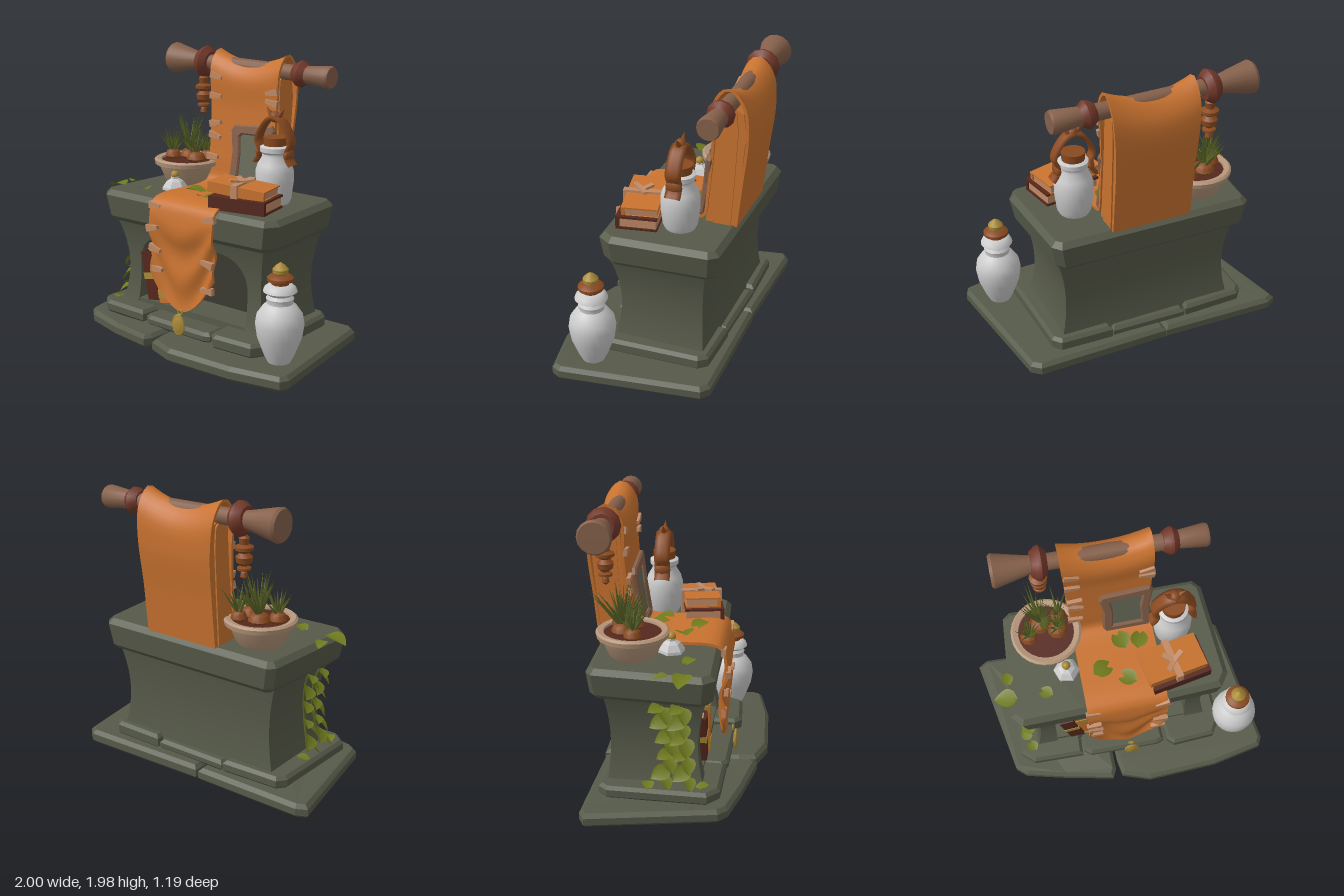
import * as THREE from 'three';
import { toCreasedNormals } from 'three/addons/utils/BufferGeometryUtils.js';

const STONE = 0x565a49, DARK = 0x3b3a31, ORANGE = 0xc8722f, WOOD = 0x85604a, RUST = 0x73382a, BROWN = 0x8a4a20,
  GREEN = 0x6f7a1e, BLADE = 0x5a6426, CLAY = 0xb5957a, GOLD = 0xa98a36, MAROON = 0x55281e, TAN = 0xc08a66, GREY = 0xcccccc;
const V = (x, y, z) => new THREE.Vector3(x, y, z);

function add(parent, name, geo, color, pos = [0, 0, 0], rot = [0, 0, 0], flat = false) {
  const m = new THREE.Mesh(geo, new THREE.MeshStandardMaterial({ color, flatShading: flat }));
  m.name = name;
  m.position.set(...pos);
  m.rotation.set(...rot);
  parent.add(m);
  return m;
}
function group(parent, name, pos = [0, 0, 0], rot = [0, 0, 0]) {
  const g = new THREE.Group();
  g.name = name;
  g.position.set(...pos);
  g.rotation.set(...rot);
  parent.add(g);
  return g;
}
// Moves every vertex by a rule
function warp(geo, rule) {
  const p = geo.attributes.position, v = V(0, 0, 0);
  for (let i = 0; i < p.count; i++) {
    v.fromBufferAttribute(p, i);
    rule(v);
    p.setXYZ(i, v.x, v.y, v.z);
  }
  geo.computeVertexNormals();
  return geo;
}
const box = (w, h, d) => new THREE.BoxGeometry(w, h, d);
const lathe = (pts, n = 24) => toCreasedNormals(new THREE.LatheGeometry(pts.map(p => new THREE.Vector2(...p)), n), 0.7);
const tube = (pts, r, n = 20) => new THREE.TubeGeometry(new THREE.CatmullRomCurve3(pts.map(p => V(...p))), n, r, 6);
// Bevelled stone slab from an (x, z) outline
function slab(outline, y0, y1, b = 0.02) {
  const s = new THREE.Shape(outline.map(([x, z]) => new THREE.Vector2(x, -z)));
  const g = new THREE.ExtrudeGeometry(s, { depth: y1 - y0 - 2 * b, bevelSize: b, bevelThickness: b, bevelOffset: -b, bevelSegments: 1 });
  return g.rotateX(-Math.PI / 2).translate(0, y0 + b, 0);
}
const stone = (parent, name, geo) => add(parent, name, geo, STONE, [0, 0, 0], [0, 0, 0], true);
// Book lying flat, spine facing +z
function book(parent, name, w, t, d, color, pos, rot, bands = []) {
  const g = group(parent, name, pos, rot);
  for (const s of [-1, 1]) add(g, 'cover', box(w, t * 0.16, d), color, [0, s * t * 0.42, 0]);
  add(g, 'pages', box(w * 0.95, t * 0.7, d * 0.92), TAN, [0, 0, -d * 0.01]);
  add(g, 'spine', box(w, t, d * 0.1), color, [0, 0, d * 0.46]);
  for (const x of bands) add(g, 'band', box(w * 0.13, t * 1.06, d * 1.02), GOLD, [x, 0, 0.004]);
}
function leaf(parent, pos, rot, s) {
  const g = warp(new THREE.PlaneGeometry(1, 1, 2, 6), v => {
    const t = v.y + 0.5;
    v.x *= 0.78 * Math.pow(Math.sin(Math.PI * Math.pow(t, 0.8)), 0.8) + 0.03;
    v.z = Math.abs(v.x) * 0.35 - t * t * 0.2;
  }).scale(s, s, s);
  add(parent, 'leaf', g, GREEN, pos, rot).material.side = THREE.DoubleSide;
}

function stonework(root) {
  const floor = group(root, 'floorSlabs');
  const tilt = v => { v.y += .012 * Math.sin(v.x * 5 + v.z * 3); };
  stone(floor, 'leftSlab', warp(slab([[-1, -.53], [-.93, -.57], [-.13, -.54], [-.12, .47], [-.15, .53], [-.5, .45], [-.78, .38], [-.85, .32]], .012, .108, .025), tilt));
  stone(floor, 'rightSlab', slab([[-.12, -.55], [.81, -.56], [.87, -.51], [1, .44], [.97, .5], [.62, .57], [.12, .59], [-.08, .52], [-.1, .4]], .01, .11, .025));
  const plinth = group(root, 'plinth');
  [[[[-.77, -.42], [-.72, -.48], [-.3, -.49], [-.34, .33], [-.7, .32], [-.79, .24]], .19],
    [[[-.29, -.49], [.25, -.48], [.27, .33], [.22, .35], [-.28, .34], [-.33, .3]], .175],
    [[[.26, -.49], [.63, -.48], [.68, -.42], [.7, .27], [.64, .37], [.34, .385], [.29, .34]], .2]]
    .forEach(([o, y]) => stone(plinth, 'plinthStone', slab(o, .1, y, .022)));

  // Hearth: recess, arched face and pinched sides in one loft around the arch
  const bow = y => ((y - .45) / .33) ** 2;
  const arch = new THREE.Path();
  arch.moveTo(.48, .2).lineTo(.48, .48).bezierCurveTo(.47, .64, .36, .7, .24, .7);
  arch.lineTo(-.24, .7).bezierCurveTo(-.36, .7, -.47, .64, -.48, .48).lineTo(-.48, .2);
  const hearth = warp(new THREE.PlaneGeometry(1, 6, 64, 6), v => {
    const u = .5 - v.x, row = Math.round(v.y + 3), p = arch.getPointAt(u);
    const y = .12 + .68 * Math.min(1, u / .25, (1 - u) / .25);
    const side = .59 + .055 * bow(y), x = side * THREE.MathUtils.clamp((.5 - u) / .25, -1, 1);
    const f = THREE.MathUtils.clamp((row - 1) / 4, 0, 1);
    v.set(p.x + (x - p.x) * f, p.y + (y - p.y) * f, 0);
    v.z = row === 0 ? -.065 : row === 6 ? -.41 - .03 * bow(y) : .165 + .055 * bow(v.y);
  });
  add(root, 'hearth', toCreasedNormals(hearth, .6), STONE, [-.025, 0, 0]);
  const back = warp(new THREE.PlaneGeometry(2, .68, 1, 10), v => {
    v.y += .46;
    v.x *= -(.59 + .055 * bow(v.y));
    v.z = -.41 - .03 * bow(v.y);
  });
  add(root, 'hearthBack', back, STONE, [-.025, 0, 0]);
  add(root, 'recessPanel', box(1.0, .54, .01), DARK, [-.025, .46, -.063]);
  add(root, 'recessFloor', box(1.1, .11, .25), STONE, [-.025, .165, .06]);

  // Mantel tapers towards its underside
  stone(root, 'mantel', warp(slab([[-.73, -.51], [-.68, -.55], [.63, -.54], [.68, -.48], [.72, .18], [.66, .27], [.3, .285], [-.3, .28], [-.72, .285], [-.79, .21]], .78, 1, .035),
    v => { const k = v.y < .9 ? .96 : 1; v.x *= k; v.z = -.13 + (v.z + .13) * k; }));
}

function drapery(root) {
  const g = group(root, 'drapery');
  const path = new THREE.CatmullRomCurve3([[1.0, -.515], [1.3, -.545], [1.66, -.58], [1.85, -.555], [1.945, -.465], [1.86, -.385], [1.6, -.375], [1.2, -.34],
    [1.04, -.315], [1.012, -.25], [1.012, .2], [.99, .27], [.93, .295], [.8, .305], [.6, .28], [.26, .285]].map(([y, z]) => V(0, y, z)), false, 'centripetal');
  // Cloth strip swept along the path, with a sagging top and a rounded tip
  const cloth = warp(new THREE.BoxGeometry(2, 1, 1, 14, 90, 1), v => {
    const t = v.y + .5, u = -v.x, p = path.getPointAt(t), d = path.getTangentAt(t);
    const top = THREE.MathUtils.smoothstep(p.y, 1.3, 1.95), o = .02 * (v.z + .5);
    v.set(u * (.277 + .023 * top), p.y + d.z * o - .075 * top * (1 - u * u), p.z - d.y * o);
    if (p.z > .2 && p.y < .93) {
      const tip = .26 + .24 * Math.pow(Math.abs(u), 1.8) + .03 * u, f = (.93 - p.y) / .67;
      v.y = .93 - f * (.93 - tip);
      v.z += .014 * Math.sin(f * 12 + u * u * 4) * Math.min(1, f * 3) + .012 * Math.cos(u * 5) * f;
    }
  });
  add(g, 'cloth', toCreasedNormals(cloth, .8), ORANGE);
  // Folded layers filling the sides, stepping inwards
  for (const [w, k] of [[.53, 1], [.55, .6]]) {
    const outline = [[-.515, 1], [-.545, 1.3], [-.575, 1.66], [-.555, 1.79], [-.465, 1.83], [-.385, 1.79], [-.375, 1.6], [-.34, 1.2], [-.315, 1]];
    const s = new THREE.Shape(outline.map(([z, y]) => new THREE.Vector2(.45 - (z + .45) * k, y)).reverse());
    add(g, 'innerFold', new THREE.ExtrudeGeometry(s, { depth: w, bevelEnabled: false }).rotateY(Math.PI / 2).translate(-w / 2, 0, 0), ORANGE);
  }
  // Lacing along the hems
  [[-.24, 1.78, -.355], [-.24, 1.64, -.35], [-.23, 1.45, -.335], [-.23, 1.36, -.33], [-.24, 1.21, -.315], [.25, 1.71, -.35], [.25, 1.64, -.35],
    [-.24, .97, .295], [-.24, .82, .33], [-.23, .67, .315], [-.23, .52, .3], [.24, .95, .305], [.23, .65, .315], [.22, .46, .3]]
    .forEach(([x, y, z], i) => {
      const wedge = warp(box(.1, .05, .03), v => { if (v.x * x < 0) v.y *= .5; });
      add(g, 'lace', wedge, TAN, [x, y, z], [0, 0, (i % 3 - 1) * .2]);
    });

  const rod = group(root, 'rod', [0, 1.85, -.46], [0, 0, -.02]);
  add(rod, 'pole', lathe([[0, -.73], [.1, -.73], [.112, -.71], [.062, -.49], [.055, -.4], [.055, .4], [.06, .47], [.078, .64], [.07, .66], [0, .66]], 16).rotateZ(-Math.PI / 2), WOOD);
  for (const [x, r] of [[-.425, .115], [.415, .092]])
    add(rod, 'collar', lathe([[.05, -.05], [r * .7, -.05], [r * .95, -.014], [r, .01], [r * .7, .05], [.05, .05]], 12).rotateZ(-Math.PI / 2), RUST, [x, 0, 0], [0, 0, -.08]);
  add(root, 'hangingBeads', lathe([[0, -.39], [.025, -.37], [.02, -.34], [.015, -.335], [.045, -.325], [.045, -.31], [.02, -.3], [.05, -.275], [.055, -.24], [.03, -.215],
    [.06, -.195], [.06, -.175], [.03, -.16], [.035, -.12], [.015, -.1], [.015, 0]], 12), BROWN, [-.44, 1.86, -.45]);
  const medal = group(root, 'medallion', [.02, .19, .365]);
  add(medal, 'disc', new THREE.SphereGeometry(1, 16, 10).scale(.048, .068, .018), GOLD);
  add(medal, 'rim', new THREE.TorusGeometry(.045, .01, 6, 20).scale(1, 1.4, 1), GOLD);
  add(medal, 'loop', new THREE.TorusGeometry(.018, .007, 6, 12), GOLD, [0, .085, -.02]);
}

function vessels(root) {
  const vase = group(root, 'floorVase', [.8, .11, .275]);
  add(vase, 'body', lathe([[0, 0], [.075, 0], [.1, .05], [.145, .17], [.158, .26], [.148, .32], [.11, .375], [.085, .395], [.085, .41], [.09, .43], [.075, .45], [.11, .475], [.1, .5], [.075, .52], [0, .52]]), GREY);
  add(vase, 'stopper', lathe([[0, .5], [.055, .5], [.055, .53], [.085, .545], [.085, .565], [.06, .585], [0, .585]]), BROWN);
  add(vase, 'knob', lathe([[.025, .575], [.05, .595], [.052, .62], [.03, .645], [0, .665]], 12), GOLD);

  const jar = group(root, 'handledJar', [.4, 1, -.19]);
  add(jar, 'body', lathe([[0, 0], [.1, 0], [.115, .03], [.13, .15], [.13, .22], [.115, .27], [.085, .32], [.085, .34], [.1, .355], [.1, .385], [.08, .395], [0, .395]]), GREY);
  add(jar, 'cork', new THREE.CylinderGeometry(.08, .075, .07, 18), BROWN, [0, .415, 0]);
  for (const s of [-1, 1]) {
    const strap = tube([[0, .585], [s * .05, .565], [s * .11, .49], [s * .135, .42], [s * .11, .36], [s * .12, .31], [s * .15, .27]], .016).scale(1, 1, 3.4);
    add(jar, 'strap', strap, BROWN);
    add(jar, 'strapKnot', new THREE.SphereGeometry(1, 8, 6).scale(.024, .045, .058), BROWN, [s * .115, .34, 0]);
    add(jar, 'bowTip', new THREE.ConeGeometry(.028, .09, 6), BROWN, [s * .045, .61, 0], [0, 0, -s * .7]);
  }
  add(jar, 'bowKnot', new THREE.SphereGeometry(.04, 8, 6), BROWN, [0, .585, 0]);

  const flask = group(root, 'smallFlask', [-.36, 1, -.04], [0, .35, 0]);
  add(flask, 'body', lathe([[0, 0], [.09, 0], [.088, .02], [.06, .06], [.03, .08], [.03, .095], [0, .095]], 6), GREY, [0, 0, 0], [0, 0, 0], true);
  add(flask, 'stopper', new THREE.SphereGeometry(.03, 10, 8), GOLD, [0, .105, 0]);

  // Planter with root bulbs and spiky tufts
  const pot = group(root, 'planter', [-.45, 1, -.28]);
  add(pot, 'bowl', lathe([[0, 0], [.14, 0], [.16, .02], [.205, .13], [.235, .14], [.24, .17], [.225, .182], [.19, .175], [.185, .13]], 28), CLAY);
  add(pot, 'soil', new THREE.CylinderGeometry(.19, .18, .03, 24), MAROON, [0, .145, 0]);
  for (const [x, z, h, n, r] of [[-.03, -.06, .33, 30, .075], [.08, 0, .22, 12, .07], [-.12, .02, .2, 20, .06], [.1, -.1, .24, 10, .055]]) {
    add(pot, 'bulb', lathe([[.03, 0], [r, .04], [r * .8, .075], [r * .3, .095], [0, .1]], 10), BROWN, [x, .14, z]);
    for (let i = 0; i < n; i++) {
      const len = h * (.65 + .35 * ((i * 5) % 7) / 6), tilt = .1 + .65 * ((i * 7) % n) / n;
      const blade = new THREE.ConeGeometry(.013, len, 4).translate(0, len / 2, 0).rotateX(tilt).rotateY(i * 2.4);
      add(pot, 'blade', blade, BLADE, [x, .2, z]);
    }
  }
}

function keepsakes(root) {
  // Leaning picture frame
  const frame = group(root, 'pictureFrame', [.1, 1.02, -.29], [-.14, 0, 0]);
  const pts = a => a.map(p => new THREE.Vector2(...p));
  const s = new THREE.Shape(pts([[-.14, 0], [.16, 0], [.18, .04], [.165, .25], [.19, .43], [.17, .465], [0, .45], [-.15, .44], [-.175, .4], [-.15, .25], [-.16, .04]]));
  s.holes.push(new THREE.Path(pts([[-.09, .06], [-.085, .25], [-.1, .36], [-.08, .38], [.12, .385], [.1, .25], [.11, .06]])));
  add(frame, 'border', new THREE.ExtrudeGeometry(s, { depth: .025, bevelSize: .01, bevelThickness: .01, bevelOffset: -.01, bevelSegments: 1 }), WOOD, [0, 0, 0], [0, 0, 0], true);
  add(frame, 'panel', box(.25, .38, .02), 0x666a58, [.01, .22, .005]);

  book(root, 'lowerBook', .41, .09, .27, MAROON, [.37, 1.055, .085], [0, .18, 0]);
  book(root, 'upperBook', .41, .07, .24, ORANGE, [.345, 1.14, .075], [0, .2, -.08]);
  const tie = group(root, 'bookTie', [.345, 1.1, .08], [0, .2, 0]);
  add(tie, 'strap', box(.045, .175, .285), TAN);
  for (const a of [.5, 2.3, 3.9]) add(tie, 'ribbon', box(.09, .015, .035).translate(.04, 0, 0), TAN, [0, .09, .02], [0, a, .15]);

  book(root, 'leaningDarkBook', .35, .1, .2, MAROON, [-.39, .41, .1], [0, 0, Math.PI / 2 + .2], [0]);
  book(root, 'leaningOrangeBook', .42, .085, .2, ORANGE, [-.285, .45, .11], [0, 0, Math.PI / 2 + .2], [-.15, .15]);
}

function ivy(root) {
  const g = group(root, 'ivy');
  // Vines climbing the left wall, leaves pointing outwards and drooping
  const vines = [[[-.72, .82, .06], [-.665, .7, .06], [-.64, .55, .06], [-.645, .4, .08], [-.69, .2, .1]],
    [[-.71, .82, -.08], [-.65, .65, -.05], [-.63, .45, -.02], [-.69, .2, -.06]]];
  vines.forEach((pts, k) => {
    add(g, 'vine', tube(pts, .008, 30), BLADE);
    const c = new THREE.CatmullRomCurve3(pts.map(p => V(...p)));
    for (let i = 0; i < 10; i++) {
      const p = c.getPointAt(.1 + i * .095), side = i % 2 ? 1 : -1;
      leaf(g, [p.x - .045, p.y, p.z + side * .025], [-1.15, -.35 - (i % 3) * .15, Math.PI / 2 + side * (.5 + k * .2)], .11 + (i % 3) * .015);
    }
  });
  // Fallen leaves
  [[-.8, 1.0, .08, 1.4, .16], [-.77, 1.0, -.06, .2, .1], [-.53, 1.01, .09, 1, .11], [.04, 1.045, -.18, .4, .16], [.17, 1.045, -.16, -.3, .15],
    [-.11, 1.045, .01, -1.2, .16], [.03, 1.045, .1, 1, .15], [-.7, .2, .2, .5, .1], [-.72, .2, -.15, 1.8, .1]]
    .forEach(([x, y, z, a, s]) => leaf(g, [x, y, z], [-Math.PI / 2, 0, a], s));
}

export function createModel() {
  const root = new THREE.Group();
  root.name = 'hearthShrine';
  [stonework, drapery, vessels, keepsakes, ivy].forEach(build => build(root));
  return root;
}
